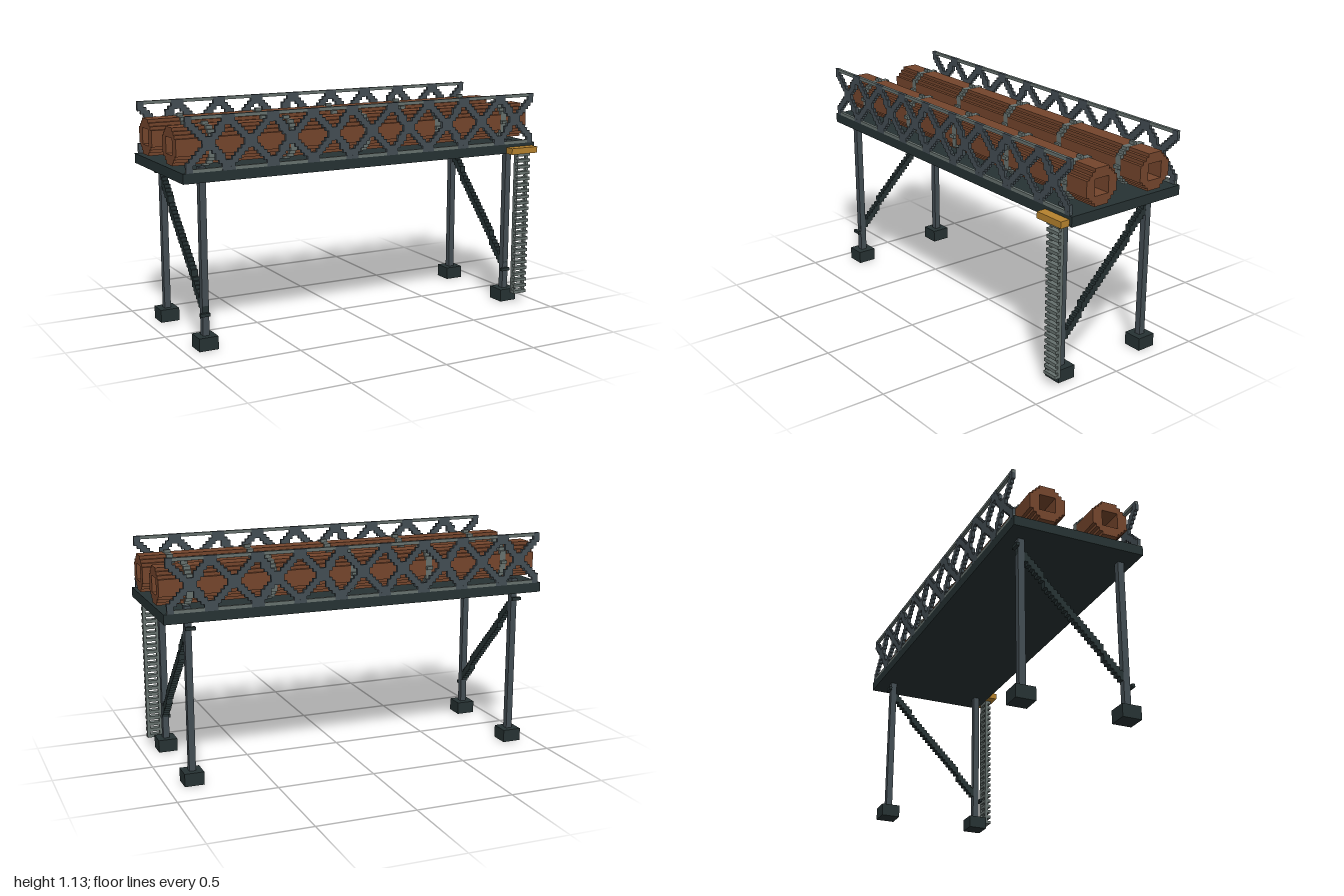
import * as THREE from 'three';
import { mergeGeometries } from 'three/addons/utils/BufferGeometryUtils.js';

// One block of the stepped style; all part sizes below are counted in blocks.
const V = 2 / 122;

const mat = (name, color) => {
  const m = new THREE.MeshStandardMaterial({ color });
  m.name = name;
  return m;
};

// Box from its limits
function box(x0, x1, y0, y1, z0, z1) {
  return new THREE.BoxGeometry(x1 - x0, y1 - y0, z1 - z0)
    .translate((x0 + x1) / 2, (y0 + y1) / 2, (z0 + z1) / 2);
}

// Stepped round outline; halves[d] is the half width of the row d blocks off centre
function steppedShape(halves, hole, grow = 1) {
  const quarter = [];
  halves.forEach((h, d) => {
    if (d === 0 || h !== halves[d - 1]) quarter.push([h, d === 0 ? 0 : d - 0.5]);
    if (d === halves.length - 1 || halves[d + 1] !== h) quarter.push([h, d + 0.5]);
  });
  quarter.shift();
  const back = quarter.slice().reverse();
  const pts = [
    ...quarter, ...back.map(([x, y]) => [-x, y]),
    ...quarter.map(([x, y]) => [-x, -y]), ...back.map(([x, y]) => [x, -y]),
  ].map(([x, y]) => new THREE.Vector2(x * grow, y * grow));
  const shape = new THREE.Shape(pts);
  const h = hole;
  shape.holes.push(new THREE.Path([[-h, -h], [-h, h], [h, h], [h, -h]].map(p => new THREE.Vector2(...p))));
  return shape;
}

// Extrude a shape along x between two limits
function alongX(shape, x0, x1, y, z) {
  return new THREE.ExtrudeGeometry(shape, { depth: x1 - x0, bevelEnabled: false })
    .rotateY(Math.PI / 2).translate(x0, y, z);
}

export function createModel() {
  const dark = mat('dark iron', 0x263233);
  const steel = mat('blue grey steel', 0x434d53);
  const grey = mat('light grey metal', 0x66716e);
  const rust = mat('rust brown', 0x74452c);
  const ochre = mat('ochre', 0xb5822e);

  const model = new THREE.Group();
  model.name = 'pipeBridge';
  const add = (name, material, geos) => {
    const mesh = new THREE.Mesh(mergeGeometries(geos), material);
    mesh.name = name;
    model.add(mesh);
  };

  // Deck and access platform
  add('deck', dark, [box(-61, 61, 50, 53, -22, 19)]);
  add('platform', ochre, [box(50, 60, 50, 52, 19, 22)]);

  // Legs, footings and one diagonal brace at each end
  const legs = [], footings = [], braces = [];
  for (const x of [-54, 53]) {
    for (const z of [15, -17]) {
      legs.push(box(x - 1, x + 1, 4, 54, z - 1, z + 1));
      footings.push(box(x - 3, x + 3, 0, 4, z - 3, z + 3));
    }
    const steps = 35;
    for (let i = 0; i <= steps; i++) {
      const z = 16 - i;
      const y = 10 + Math.round(i * 37 / steps);
      const end = i === 0 || i === steps;
      if (end) braces.push(box(x - 2, x + 1, y, y + 1, z, z + 1));
      else braces.push(box(x - 0.98, x + 0.98, y - 1, y + 2, z, z + 1));
    }
  }
  add('legs', steel, legs);
  add('footings', dark, footings);
  add('braces', dark, braces);

  // Ladder
  const ladder = [box(53, 54, 3, 50, 19, 20), box(57, 58, 3, 50, 19, 20)];
  for (let y = 3; y < 50; y += 2) ladder.push(box(53, 58, y, y + 1, 19.02, 21));
  add('ladder', grey, ladder);

  // Two pipes with clamp bands
  const pipeShape = steppedShape([5.5, 5.5, 5.5, 4.5, 3.5, 2.5], 2.5);
  const bandShape = steppedShape([5.5, 5.5, 5.5, 5.5, 4.5, 3.5], 3, 1.008);
  const pipes = [], bands = [];
  for (const z of [8.5, -11.5]) {
    const y = 59.5;
    pipes.push(alongX(pipeShape, -61, 61, y, z));
    for (const x of [-50, -24, 1, 26.5, 52]) {
      bands.push(alongX(bandShape, x - 1, x + 1, y, z));
      // Lugs on the four sides
      for (const s of [-1, 1]) {
        for (const [dy, dz] of [[s * 6, 0], [0, s * 6]]) {
          bands.push(new THREE.BoxGeometry(2, 1, 1).translate(x, y + dy, z + dz).toNonIndexed());
        }
      }
    }
  }
  add('pipes', rust, pipes);
  add('pipeBands', grey, bands);

  // Railings: two rails with a stepped lattice of nine crossed panels
  const rails = [], lattice = [];
  const panels = 9, rows = 14, span = 120 / panels;
  for (const z of [18, -22]) {
    for (const y of [53, 68]) {
      rails.push(box(-60, 60, y, y + 1, z, z + 1));
      for (let p = 0; p <= panels; p++) {
        const x = Math.round(-60 + p * span);
        lattice.push(box(Math.max(-60, x - 2), Math.min(60, x + 2), y - 0.02, y + 1.02, z - 0.02, z + 1.02));
      }
    }
    for (let p = 0; p < panels; p++) {
      for (let r = 0; r < rows; r++) {
        const along = (r + 0.5) / rows * span;
        for (const x of [p * span + along, (p + 1) * span - along]) {
          const c = Math.round(x - 60.5) + 0.5;
          lattice.push(box(Math.max(-60, c - 1.5), Math.min(60, c + 1.5), 54 + r, 55 + r, z, z + 1));
        }
      }
    }
  }
  add('rails', grey, rails);
  add('railingLattice', steel, lattice);

  model.scale.setScalar(V);
  return model;
}
